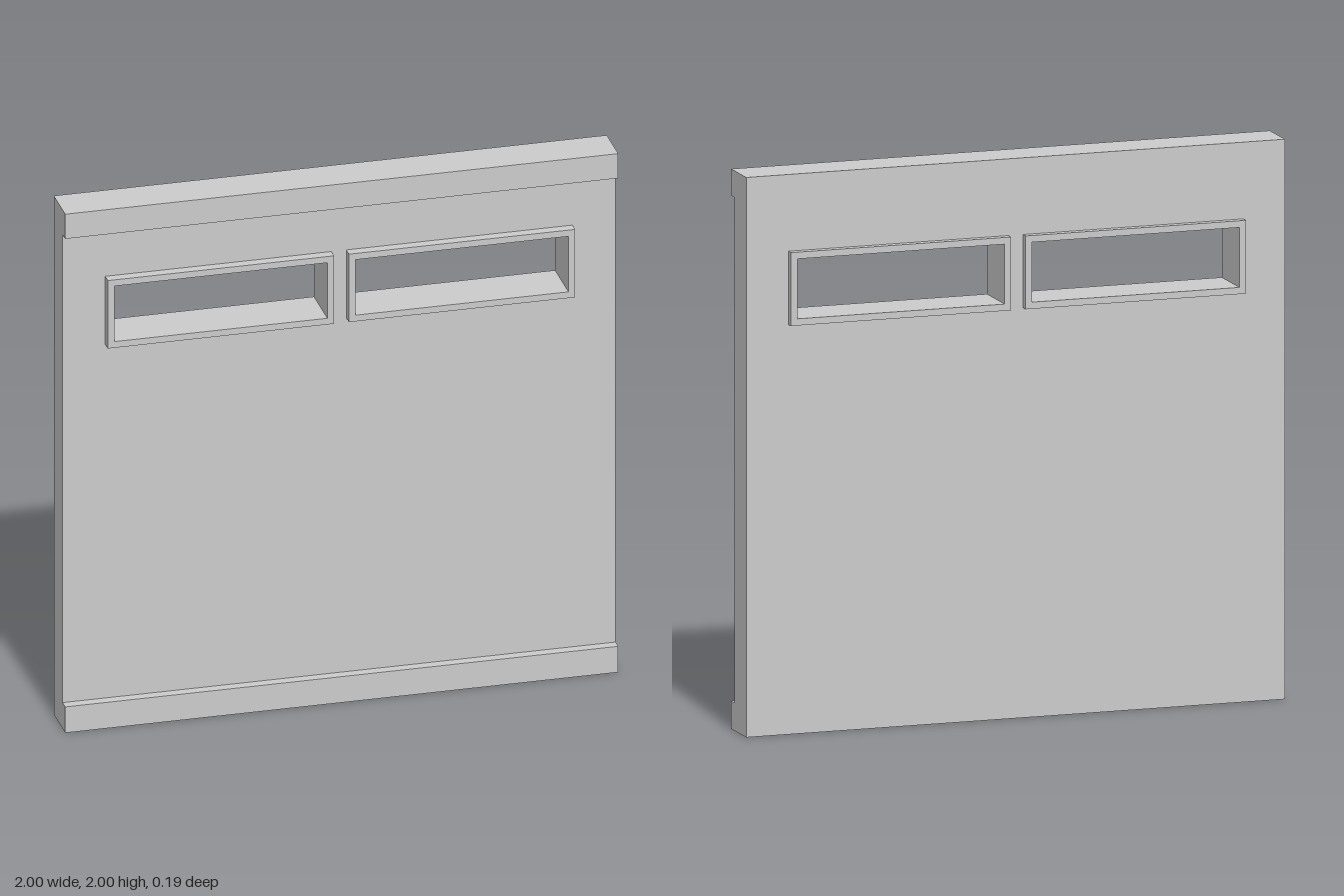
import * as THREE from 'three';

const material = new THREE.MeshStandardMaterial({ color: 0xcccccc });

// Depths along z
const FRONT = 0.093, PANEL_FRONT = 0.056, PANEL_BACK = -0.066, BACK = -0.093;

// Window openings: [x0, y0, x1, y1]
const openings = [
  [-0.822, 1.488, -0.052, 1.702],
  [0.05, 1.488, 0.82, 1.702],
];
const BORDER = 0.024;

const grow = ([x0, y0, x1, y1], d) => [x0 - d, y0 - d, x1 + d, y1 + d];

function rect(PathType, [x0, y0, x1, y1]) {
  const path = new PathType();
  path.moveTo(x0, y0).lineTo(x1, y0).lineTo(x1, y1).lineTo(x0, y1).closePath();
  return path;
}

// Rectangular slab between two depths, with rectangular holes
function slab(name, outline, holes, zBack, zFront) {
  const shape = rect(THREE.Shape, outline);
  shape.holes = holes.map((hole) => rect(THREE.Path, hole));
  const geometry = new THREE.ExtrudeGeometry(shape, { depth: zFront - zBack, bevelEnabled: false });
  geometry.translate(0, 0, zBack);
  const mesh = new THREE.Mesh(geometry, material);
  mesh.name = name;
  return mesh;
}

export function createModel() {
  const model = new THREE.Group();
  model.name = 'wallPanel';

  // Main panel, its holes hidden behind the frame borders
  model.add(slab('panel', [-1, 0, 1, 2], openings.map((o) => grow(o, BORDER / 2)), PANEL_BACK, PANEL_FRONT));

  // Rails along the front's bottom and top edges
  model.add(slab('bottomRail', [-1, 0, 1, 0.1], [], PANEL_FRONT, FRONT));
  model.add(slab('topRail', [-1, 1.905, 1, 2], [], PANEL_FRONT, FRONT));

  // Window frames running through the panel and standing proud on both sides
  openings.forEach((o, i) => {
    model.add(slab(i ? 'leftWindowFrame' : 'rightWindowFrame', grow(o, BORDER), [o], BACK, FRONT));
  });

  return model;
}
